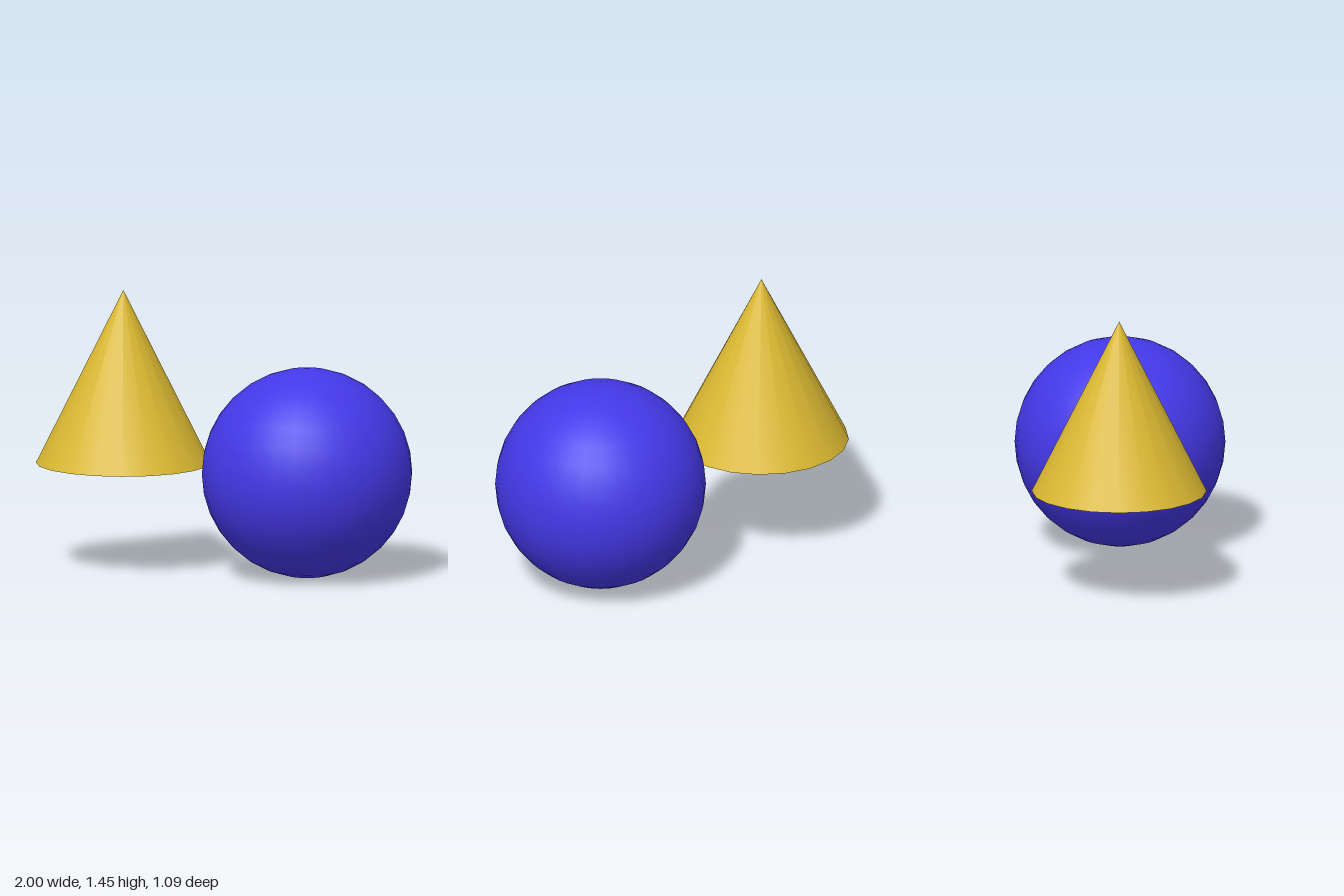
import * as THREE from 'three';

function part(name, geometry, color, x, y) {
  const mesh = new THREE.Mesh(geometry, new THREE.MeshStandardMaterial({ color }));
  mesh.name = name;
  mesh.position.set(x, y, 0);
  return mesh;
}

export function createModel() {
  const model = new THREE.Group();
  model.name = 'coneAndSphere';

  // Cone with a closed base, raised to the height of the sphere's centre
  const height = 0.905;
  model.add(part('cone', new THREE.ConeGeometry(0.4525, height, 20), 0xdcba32, -0.5475, 0.545 + height / 2));

  // Sphere resting on the ground, just touching the cone's rim
  model.add(part('sphere', new THREE.SphereGeometry(0.545, 32, 16), 0x4438e8, 0.455, 0.545));

  return model;
}
